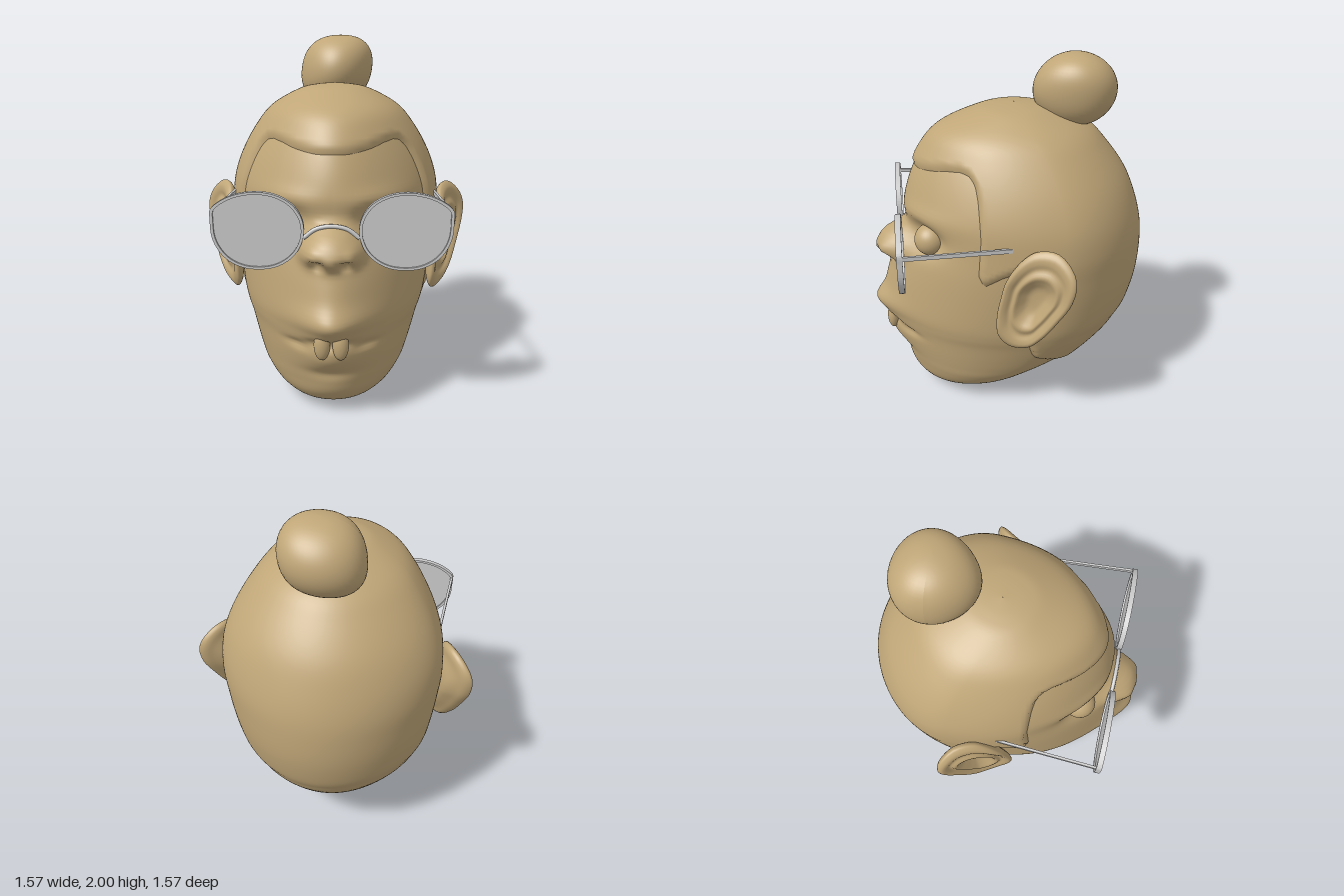
import * as THREE from 'three';

const skin = new THREE.MeshStandardMaterial({ color: 0xc0a678 });
const grey = new THREE.MeshStandardMaterial({ color: 0xcccccc, side: THREE.DoubleSide });

// skull cross-sections: height, half width, front z, back z, z of the widest point, front narrowing
const RINGS = [
  [0, 0, 0.3, 0.3, 0.3, 0], [0.005, 0.07, 0.36, 0.22, 0.29, 0], [0.02, 0.15, 0.42, 0.12, 0.28, 0],
  [0.06, 0.25, 0.51, -0.06, 0.23, 0], [0.12, 0.335, 0.565, -0.2, 0.17, 0.05], [0.2, 0.4, 0.595, -0.34, 0.1, 0.12],
  [0.27, 0.435, 0.63, -0.47, 0.03, 0.2], [0.35, 0.465, 0.67, -0.56, -0.03, 0.3],
  [0.45, 0.5, 0.705, -0.64, -0.1, 0.36], [0.52, 0.525, 0.725, -0.68, -0.12, 0.4],
  [0.6, 0.545, 0.735, -0.72, -0.15, 0.4], [0.75, 0.565, 0.705, -0.755, -0.18, 0.36],
  [0.9, 0.58, 0.655, -0.765, -0.2, 0.28], [1.05, 0.59, 0.58, -0.755, -0.22, 0.15],
  [1.2, 0.575, 0.58, -0.715, -0.22, 0.15], [1.35, 0.52, 0.54, -0.65, -0.2, 0.2],
  [1.5, 0.43, 0.465, -0.54, -0.15, 0.2], [1.6, 0.34, 0.37, -0.44, -0.1, 0.1],
  [1.68, 0.2, 0.18, -0.27, -0.05, 0], [1.705, 0.11, 0.08, -0.16, -0.04, 0], [1.715, 0, -0.04, -0.04, -0.04, 0],
];
const ROWS = 130, COLS = 200;

function ringAt(s) {
  const n = RINGS.length - 1, f = s * n, i = Math.min(n - 1, Math.floor(f)), t = f - i;
  const at = (k) => RINGS[Math.max(0, Math.min(n, k))];
  return RINGS[0].map((_, c) => {
    const [a, b, d, e] = [at(i - 1)[c], at(i)[c], at(i + 1)[c], at(i + 2)[c]];
    return b + 0.5 * t * (d - a + t * (2 * a - 5 * b + 4 * d - e + t * (3 * (b - d) + e - a)));
  });
}

// closed surface over a grid of rows and wrapped columns
function gridGeometry(rows, cols, point, keep = () => true) {
  const pos = [], idx = [];
  for (let i = 0; i <= rows; i++) for (let j = 0; j < cols; j++) pos.push(...point(i, j));
  for (let i = 0; i < rows; i++) for (let j = 0; j < cols; j++) {
    const k = (j + 1) % cols, a = i * cols + j, b = i * cols + k, c = a + cols, d = b + cols;
    if (keep(a) || keep(b) || keep(c) || keep(d)) idx.push(a, b, c, b, d, c);
  }
  const g = new THREE.BufferGeometry();
  g.setAttribute('position', new THREE.Float32BufferAttribute(pos, 3));
  g.setIndex(idx);
  g.computeVertexNormals();
  return g;
}

function skullPoint(i, j) {
  const [y, w, zf, zb, zc, k] = ringAt(i / ROWS);
  const a = (j / COLS) * Math.PI * 2, t = a - 0.4 * Math.sin(a), c = Math.cos(t);
  const x = w * Math.sin(t) * (1 - (c > 0 ? k * c ** 4 : 0.1 * c * c));
  return [x, y, zc + c * (c > 0 ? zf - zc : zc - zb)];
}

// facial features: x, y, radius x, radius y, height, falloff (mirrored by |x|)
const FEATURES = [
  [0, 0.97, 0.15, 0.095, 0.125, 3.5], [0.12, 0.93, 0.05, 0.055, 0.035, 2.5], // nose and its wings
  [0.07, 0.89, 0.036, 0.026, -0.045, 2.5], // nostril
  [0.24, 1.06, 0.12, 0.09, -0.05, 3], [0.24, 1.19, 0.16, 0.05, 0.018, 2], // eye socket, brow
  [0, 0.465, 0.13, 0.032, -0.03, 3], [0.18, 0.435, 0.07, 0.024, -0.025, 2], // mouth line, corner
  [0, 0.59, 0.17, 0.065, 0.045, 2], [0, 0.37, 0.13, 0.045, 0.012, 2], // lips
  [0, 0.265, 0.13, 0.035, -0.018, 2], [0, 0.17, 0.14, 0.06, 0.01, 2], // chin crease, chin
];
function facePoint(i, j) {
  const [x, y, z] = skullPoint(i, j);
  let dz = 0;
  if (z > 0.2) for (const [cx, cy, sx, sy, h, p] of FEATURES) {
    const q = Math.hypot((Math.abs(x) - cx) / sx, (y - cy) / sy);
    dz += h * Math.exp(-(q ** p));
  }
  return [x, y, z + dz];
}

// hair region seen from the side, as z, y
const HAIRLINE = [
  [1, 1.41], [0.5, 1.415], [0.42, 1.435], [0.35, 1.455], [0.28, 1.465], [0.24, 1.455], [0.215, 1.42], [0.205, 1.35],
  [0.2, 1.15], [0.215, 0.95], [0.19, 0.89], [0.1, 0.95], [0, 1], [-0.04, 0.85], [0, 0.7], [-0.045, 0.56],
  [-0.06, 0.47], [-0.075, 0.42], [-0.1, 0.38], [-0.15, 0.355], [-0.25, 0.305], [-0.38, 0.21], [-0.6, 0.1],
  [-1, 0.1], [-1, 2], [1, 2],
];
function hairDistance(z, y) {
  let best = 9, inside = false;
  HAIRLINE.forEach(([az, ay], i) => {
    const [bz, by] = HAIRLINE[(i + 1) % HAIRLINE.length], ez = bz - az, ey = by - ay;
    const t = THREE.MathUtils.clamp(((z - az) * ez + (y - ay) * ey) / (ez * ez + ey * ey), 0, 1);
    best = Math.min(best, Math.hypot(z - az - t * ez, y - ay - t * ey));
    if ((ay > y) !== (by > y) && z < az + ((y - ay) / ey) * ez) inside = !inside;
  });
  return inside ? best : -best;
}
function hairGeometry() {
  const dist = [];
  const g = gridGeometry(ROWS, COLS, (i, j) => {
    const p = skullPoint(i, j);
    dist.push(hairDistance(p[2], p[1]));
    return p;
  }, (v) => dist[v] > -0.04);
  const p = g.attributes.position, n = g.attributes.normal;
  for (let v = 0; v < p.count; v++) {
    const o = THREE.MathUtils.clamp(dist[v], -0.05, 0.022);
    p.setXYZ(v, p.getX(v) + n.getX(v) * o, p.getY(v) + n.getY(v) * o, p.getZ(v) + n.getZ(v) * o);
  }
  g.computeVertexNormals();
  return g;
}

// ear: outline in z, y, swept through front rings, over the rim and round the back
function earGeometry(side) {
  const outline = new THREE.CatmullRomCurve3([
    [0.08, 0.97], [0.01, 1.08], [-0.07, 1.14], [-0.17, 1.145], [-0.235, 1.06], [-0.225, 0.92], [-0.16, 0.78],
    [-0.09, 0.66], [-0.02, 0.57], [0.06, 0.55], [0.12, 0.61], [0.13, 0.72], [0.11, 0.85],
  ].map(([z, y]) => new THREE.Vector3(0, y, z)), true);
  const profile = new THREE.CatmullRomCurve3([
    [0, -0.05], [0.25, -0.045], [0.42, -0.02], [0.55, 0.002], [0.68, -0.008], [0.8, 0.008], [0.92, 0.015],
    [1, 0], [0.95, -0.03], [0.75, -0.065], [0.45, -0.11], [0, -0.12],
  ].map(([s, h]) => new THREE.Vector3(s, h, 0)));
  const cols = 56, rim = outline.getSpacedPoints(cols);
  return gridGeometry(40, cols, (i, j) => {
    const { x: s, y: h } = profile.getPoint(i / 40);
    const r = rim[side > 0 ? j : (cols - j) % cols];
    const y = 0.86 + (r.y - 0.86) * s, z = -0.045 + (r.z + 0.045) * s;
    const curl = 1.6 * Math.max(0, y - 0.95) ** 2 + 1.2 * Math.max(0, 0.7 - y) ** 2;
    return [side * (0.56 + 0.6 * (0.13 - z) - curl + 0.83 * h), y, z + 0.5 * h];
  });
}

// slightly lumpy ball with a flattened top, narrower to the front
function bunGeometry() {
  const g = new THREE.SphereGeometry(1, 48, 32), p = g.attributes.position;
  for (let i = 0; i < p.count; i++) {
    const x = p.getX(i), y = p.getY(i), z = p.getZ(i), r = 1 + 0.25 * x * x * y * y;
    p.setXYZ(i, 0.213 * x * r * (1 - 0.15 * z) + 0.025 * y, 0.2 * y * r, 0.23 * z * r);
  }
  g.computeVertexNormals();
  return g;
}

function lensShapes() {
  const pts = [
    [0.138, 1.04], [0.15, 1.12], [0.2, 1.19], [0.28, 1.235], [0.38, 1.25], [0.48, 1.235], [0.55, 1.205],
    [0.603, 1.16], [0.606, 1.11], [0.6, 1.02], [0.57, 0.95], [0.52, 0.895], [0.45, 0.86], [0.37, 0.85],
    [0.29, 0.86], [0.22, 0.895], [0.165, 0.955],
  ];
  const curve = new THREE.CatmullRomCurve3(pts.map(([x, y]) => new THREE.Vector3(x, y, 0)), true, 'centripetal');
  const scaled = (s) => curve.getPoints(85).slice(0, -1)
    .map((p) => new THREE.Vector2(0.37 + (p.x - 0.37) * s, 1.05 + (p.y - 1.05) * s));
  const frame = new THREE.Shape(scaled(1));
  frame.holes.push(new THREE.Path(scaled(0.935)));
  return { frame, lens: new THREE.Shape(scaled(0.95)) };
}

export function createModel() {
  const model = new THREE.Group();
  const add = (name, geometry, material = skin, parent = model) => {
    const m = new THREE.Mesh(geometry, material);
    m.name = name;
    parent.add(m);
    return m;
  };
  add('face', gridGeometry(ROWS, COLS, facePoint));
  add('hair', hairGeometry());
  add('hairBun', bunGeometry()).position.set(0.003, 1.797, -0.375);

  const glasses = new THREE.Group();
  glasses.name = 'glasses';
  model.add(glasses);
  const { frame, lens } = lensShapes();
  for (const side of [1, -1]) {
    const label = side > 0 ? 'left' : 'right';
    add(label + 'Ear', earGeometry(side));
    add(label + 'Eye', new THREE.SphereGeometry(0.088, 32, 24)).position.set(side * 0.235, 1.055, 0.45);
    const tooth = add(label + 'Tooth', new THREE.SphereGeometry(1, 24, 16));
    tooth.scale.set(0.042, 0.08, 0.035);
    tooth.position.set(side * 0.048, 0.465, 0.69);

    // rim, lens and temple arm
    const half = new THREE.Group();
    half.name = label + 'GlassesHalf';
    half.scale.x = side;
    glasses.add(half);
    add('rim', new THREE.ExtrudeGeometry(frame, { depth: 0.03, bevelEnabled: false }), grey, half).position.z = 0.6;
    add('lens', new THREE.ExtrudeGeometry(lens, { depth: 0.008, bevelEnabled: false }), grey, half).position.z = 0.611;
    const arm = add('arm', new THREE.BoxGeometry(0.014, 0.022, 0.64), grey, half);
    arm.position.set(0.581, 1.132, 0.295);
    arm.rotation.set(-0.02, 0.055, 0);
  }
  const bridge = new THREE.CatmullRomCurve3([[-0.14, 1.015], [-0.08, 1.06], [0, 1.075], [0.08, 1.06], [0.14, 1.015]]
    .map(([x, y]) => new THREE.Vector3(x, y, 0.618)));
  add('bridge', new THREE.TubeGeometry(bridge, 24, 0.011, 10), grey, glasses);
  return model;
}
